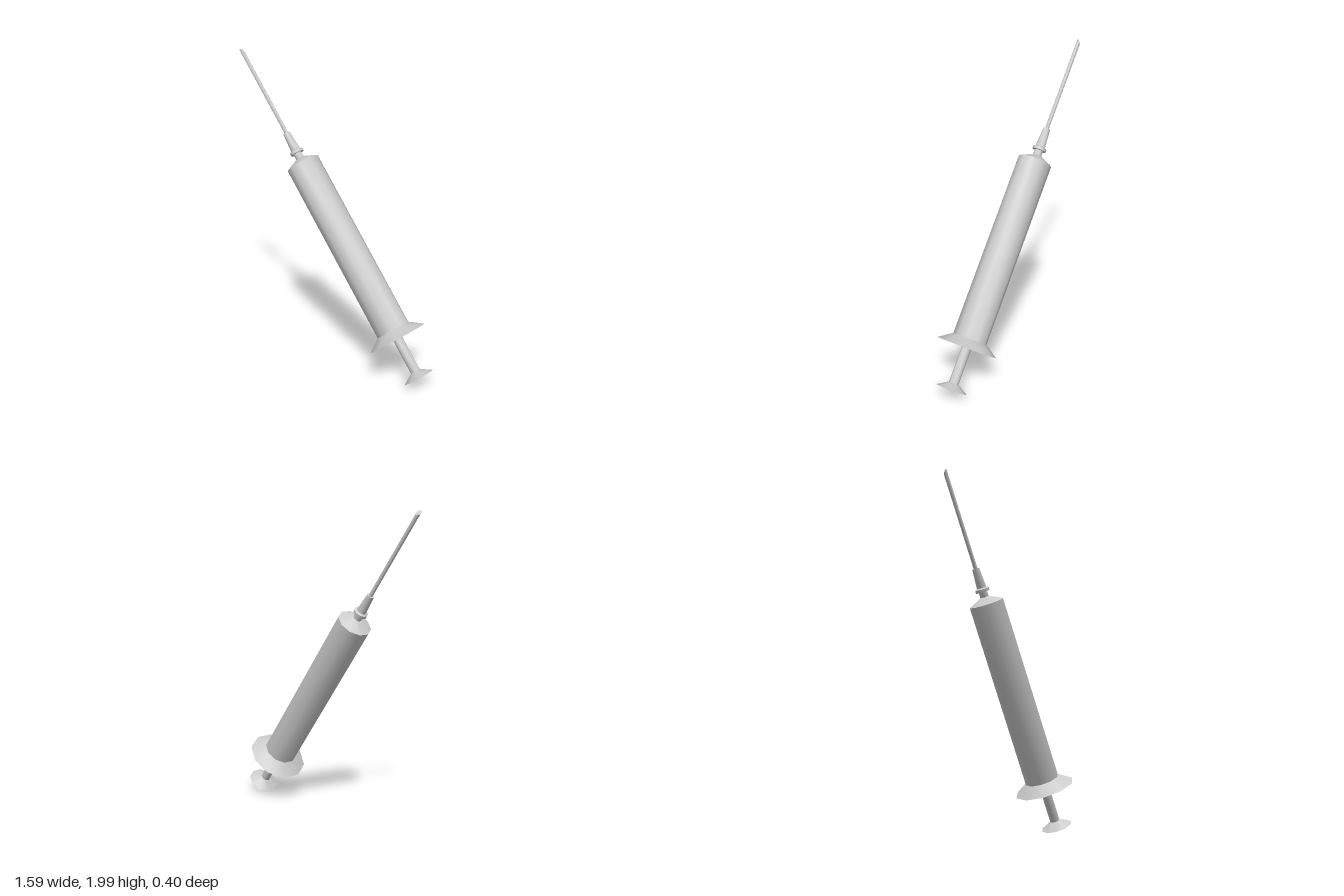
import * as THREE from 'three';
import { toCreasedNormals } from 'three/addons/utils/BufferGeometryUtils.js';

const material = new THREE.MeshStandardMaterial({ color: 0xcccccc });
const SIDES = 10;

// Turned part from [radius, height] pairs, bottom to top
function turned(name, profile, reshape) {
  const points = profile.map(([r, y]) => new THREE.Vector2(r, y));
  const geometry = new THREE.LatheGeometry(points, SIDES);
  if (reshape) reshape(geometry.attributes.position);
  const mesh = new THREE.Mesh(toCreasedNormals(geometry, THREE.MathUtils.degToRad(40)), material);
  mesh.name = name;
  return mesh;
}

export function createModel() {
  const syringe = new THREE.Group();
  syringe.name = 'syringe';

  // Barrel with flared finger flange, tapered shoulder and nozzle
  syringe.add(turned('barrel', [
    [0, -0.06], [0.2, -0.06], [0.113, 0], [0.113, 1.227], [0.028, 1.268], [0.028, 1.31], [0, 1.31],
  ]));

  // Plunger rod with flared thumb rest
  syringe.add(turned('plunger', [
    [0, -0.339], [0.104, -0.339], [0.032, -0.297], [0.032, -0.05], [0, -0.05],
  ]));

  // Needle hub with a collar at its base
  syringe.add(turned('needleHub', [
    [0, 1.303], [0.046, 1.303], [0.046, 1.322], [0.032, 1.33], [0.023, 1.457], [0, 1.457],
  ]));

  // Needle, its tip cut at a slant so the front side is longer
  const r = 0.013, tip = 2.107;
  syringe.add(turned('needle', [[0, 1.45], [r, 1.45], [r, tip], [0, tip]], (p) => {
    for (let i = 0; i < p.count; i++) {
      if (p.getY(i) > 2) p.setY(i, tip - 0.03 * (r - p.getZ(i)) / (2 * r));
    }
  }));

  // Lean the whole axis
  syringe.rotation.z = THREE.MathUtils.degToRad(38.1);
  syringe.position.set(0.51, 0.335, 0);

  const model = new THREE.Group();
  model.name = 'model';
  model.add(syringe);
  return model;
}
